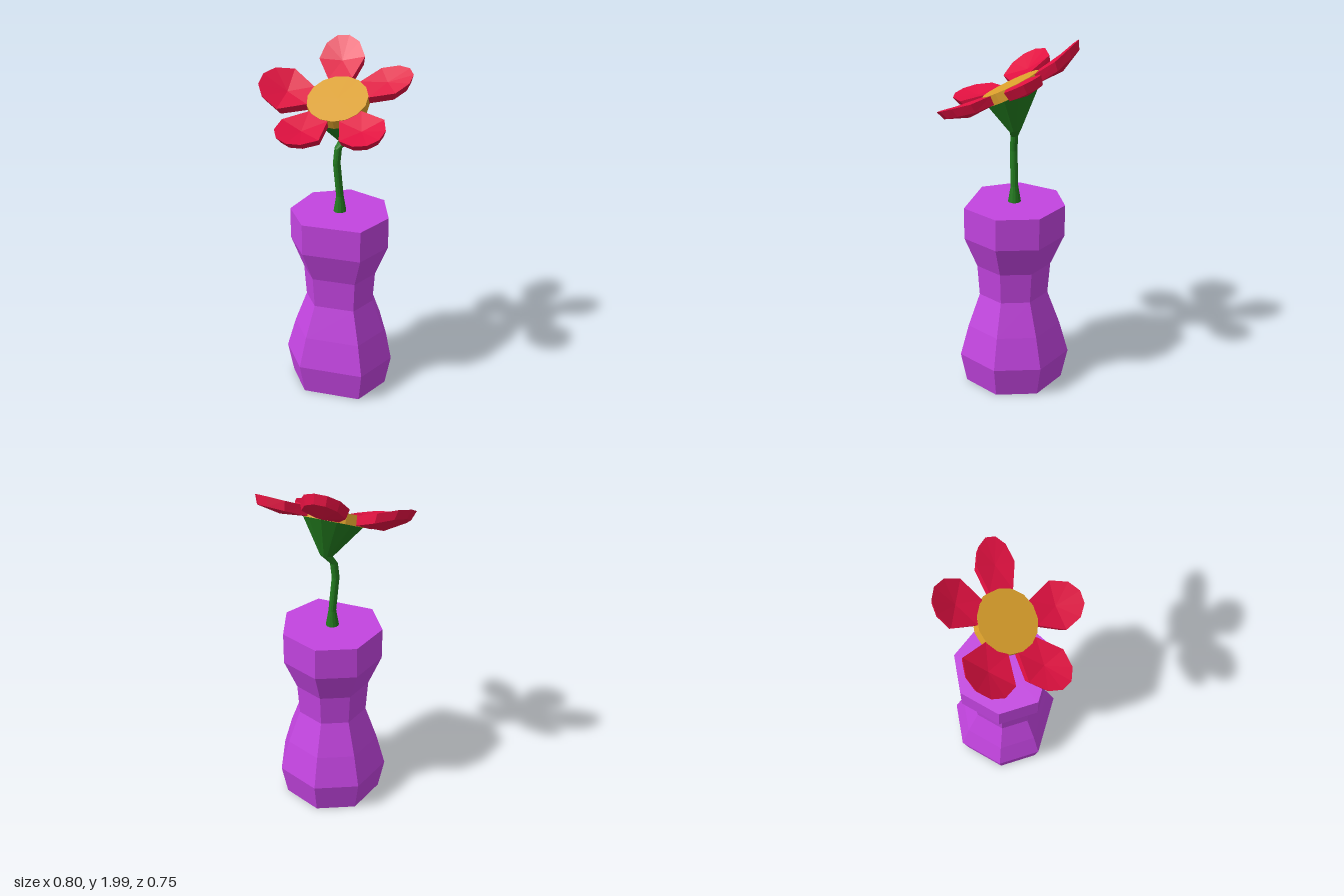
import * as THREE from 'three';

const V = (x, y, z) => new THREE.Vector3(x, y, z);

function makeMesh(name, geometry, color) {
  const mesh = new THREE.Mesh(geometry, new THREE.MeshStandardMaterial({ color, flatShading: true }));
  mesh.name = name;
  return mesh;
}

// Skin a stack of equal-length rings (counter-clockwise from above) and cap both ends.
function loft(rings, bottomCentre, topCentre) {
  const n = rings[0].length;
  const points = [...rings.flat(), bottomCentre, topCentre];
  const bottom = points.length - 2, top = points.length - 1, last = (rings.length - 1) * n;
  const index = [];
  for (let i = 0; i < n; i++) {
    const j = (i + 1) % n;
    for (let k = 0; k < last; k += n) {
      index.push(k + i, k + j, k + n + j, k + i, k + n + j, k + n + i);
    }
    index.push(bottom, j, i, top, last + i, last + j);
  }
  const geometry = new THREE.BufferGeometry().setFromPoints(points);
  geometry.setIndex(index);
  const flat = geometry.toNonIndexed();
  flat.computeVertexNormals();
  return flat;
}

// Tilted frame of the flower head
const normal = V(-0.22, 0.89, 0.4).normalize();
const headCentre = V(-0.022, 1.75, -0.02);

function makeVase() {
  const outline = [
    [0.065, 0.31], [0.275, 0.15], [0.305, -0.11], [0.125, -0.307],
    [-0.125, -0.307], [-0.3, -0.1], [-0.265, 0.15],
  ];
  const levels = [[0, 0.89], [0.18, 1], [0.36, 0.84], [0.55, 0.62], [0.73, 0.66], [0.91, 0.89], [1.09, 0.89]];
  const rings = levels.map(([y, s]) => outline.map(([x, z]) => V(x * s - 0.005, y, z * s - 0.028)));
  return makeMesh('vase', loft(rings, V(0, 0, -0.03), V(0, 1.09, -0.03)), 0xc344e0);
}

// Stem that bends and flares into the calyx under the flower
function makeStem() {
  const sides = 12;
  const calyxTop = headCentre.clone().addScaledVector(normal, -0.05);
  const stations = [ // centre, radius, tilt
    [V(-0.005, 1.09, -0.04), 0.036, 0],
    [V(-0.005, 1.18, -0.04), 0.021, 0],
    [V(-0.023, 1.38, -0.038), 0.021, 0],
    [V(-0.014, 1.465, -0.04), 0.021, 0.2],
    [V(0.025, 1.51, -0.04), 0.034, 0.7],
    [calyxTop, 0.16, 1],
  ];
  const rings = stations.map(([centre, radius, tilt]) => {
    const up = V(0, 1, 0).lerp(normal, tilt).normalize();
    const turn = new THREE.Quaternion().setFromUnitVectors(V(0, 1, 0), up);
    return Array.from({ length: sides }, (_, i) => {
      const a = (i / sides) * Math.PI * 2;
      return V(Math.cos(a) * radius, 0, -Math.sin(a) * radius).applyQuaternion(turn).add(centre);
    });
  });
  return makeMesh('stemAndCalyx', loft(rings, stations[0][0], calyxTop), 0x227a1e);
}

// Thick, slightly cupped petal growing along +x
function makePetal(width, lift) {
  const half = [[0.15, 0.065, 0], [0.285, width, 0.35], [0.375, width * 0.72, 0.8], [0.418, width * 0.26, 1]];
  const outline = [...half, ...half.map(([x, z, h]) => [x, -z, h]).reverse()];
  const top = outline.map(([x, z, h]) => V(x, h * lift, z));
  const bottom = outline.map(([x, z, h]) => V(0.15 + (x - 0.15) * 0.93, h * lift - 0.05, z * 0.9));
  return loft([bottom, top], V(0.28, lift * 0.2 - 0.065, 0), V(0.28, lift * 0.2 - 0.008, 0));
}

function makeFlowerHead() {
  const head = new THREE.Group();
  head.name = 'flowerHead';
  const e1 = V(1, 0.25, 0).normalize();
  const e2 = e1.clone().cross(normal).normalize();
  const up = e2.clone().cross(e1);
  head.quaternion.setFromRotationMatrix(new THREE.Matrix4().makeBasis(e1, up, e2));
  head.position.copy(headCentre);

  const disc = makeMesh('flowerCentre', new THREE.CylinderGeometry(0.164, 0.164, 0.055, 15), 0xdca02c);
  disc.position.y = -0.0255;
  head.add(disc);

  // angle, half width, tip lift
  const petals = [[-3, 0.105, 0.01], [79, 0.13, 0.045], [147, 0.13, 0.06], [213, 0.15, 0.08], [291, 0.125, 0.06]];
  for (const [angle, width, lift] of petals) {
    const petal = makeMesh('petal', makePetal(width, lift), 0xe01040);
    petal.rotation.y = -THREE.MathUtils.degToRad(angle);
    head.add(petal);
  }
  return head;
}

export function createModel() {
  const model = new THREE.Group();
  model.name = 'flowerInVase';
  model.add(makeVase(), makeStem(), makeFlowerHead());
  return model;
}
